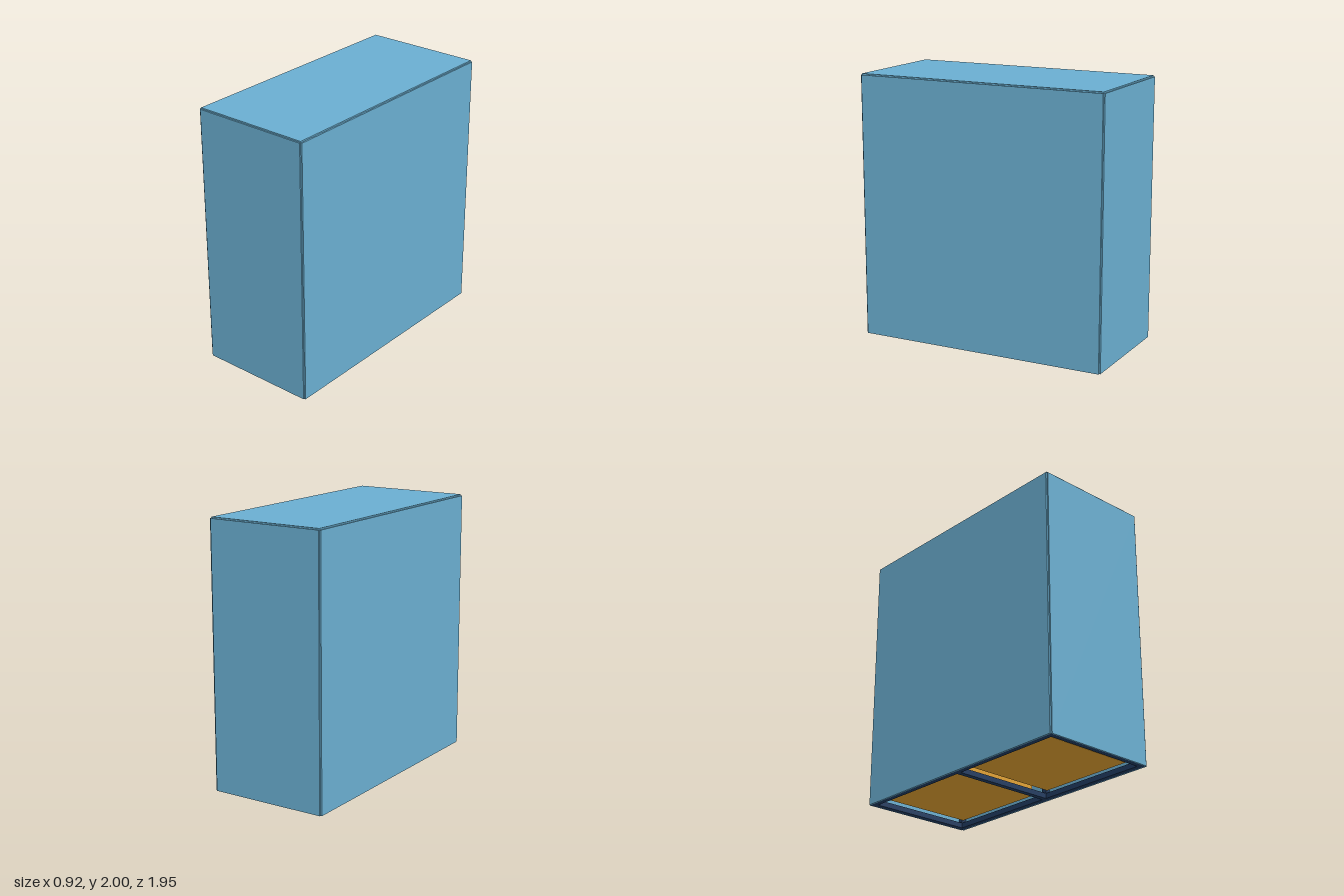
import * as THREE from 'three';

const panelMat = new THREE.MeshStandardMaterial({ color: 0x6aaed0 });
const frameMat = new THREE.MeshStandardMaterial({ color: 0x1f3a5f });
const crateMat = new THREE.MeshStandardMaterial({ color: 0xe0a030 });

export function createModel() {
  const root = new THREE.Group();

  // Box given by its centre and size
  const box = (name, mat, size, pos, parent) => {
    const mesh = new THREE.Mesh(new THREE.BoxGeometry(...size), mat);
    mesh.position.set(...pos);
    mesh.name = name;
    parent.add(mesh);
  };
  const group = (name) => {
    const g = new THREE.Group();
    g.name = name;
    root.add(g);
    return g;
  };

  const X = 0.45, Z = 0.965, H = 1.99; // outer faces of the frame
  const bar = 0.04, half = bar / 2;

  // Cladding panels, leaving a small notch along every edge
  const cladding = group('cladding');
  for (const s of [-1, 1]) {
    box('sidePanel', panelMat, [0.012, H, 2 * Z], [s * (X + 0.006), H / 2, 0], cladding);
    box('endPanel', panelMat, [2 * X, H, 0.01], [0, H / 2, s * (Z + 0.005)], cladding);
  }
  box('topPanel', panelMat, [2 * X, 0.01, 2 * Z], [0, H + 0.005, 0], cladding);

  // Inner frame: posts, long rails and cross rails in two bays
  const frame = group('frame');
  const zRows = [-Z + half, 0, Z - half];
  const levels = [half, H / 2, H - half];
  for (const s of [-1, 1]) {
    for (const z of zRows) box('post', frameMat, [bar, H, bar], [s * (X - half), H / 2, z], frame);
    for (const y of levels) box('longRail', frameMat, [bar, bar, 2 * Z], [s * (X - half), y, 0], frame);
  }
  for (const z of zRows)
    for (const y of levels) box('crossRail', frameMat, [2 * X, bar, bar], [0, y, z], frame);

  // Crates, one in each cell of the frame
  const crates = group('crates');
  for (const z of [-0.47, 0.47])
    for (const y of [0.495, 1.495]) box('crate', crateMat, [0.73, 0.92, 0.78], [0, y, z], crates);

  return root;
}
